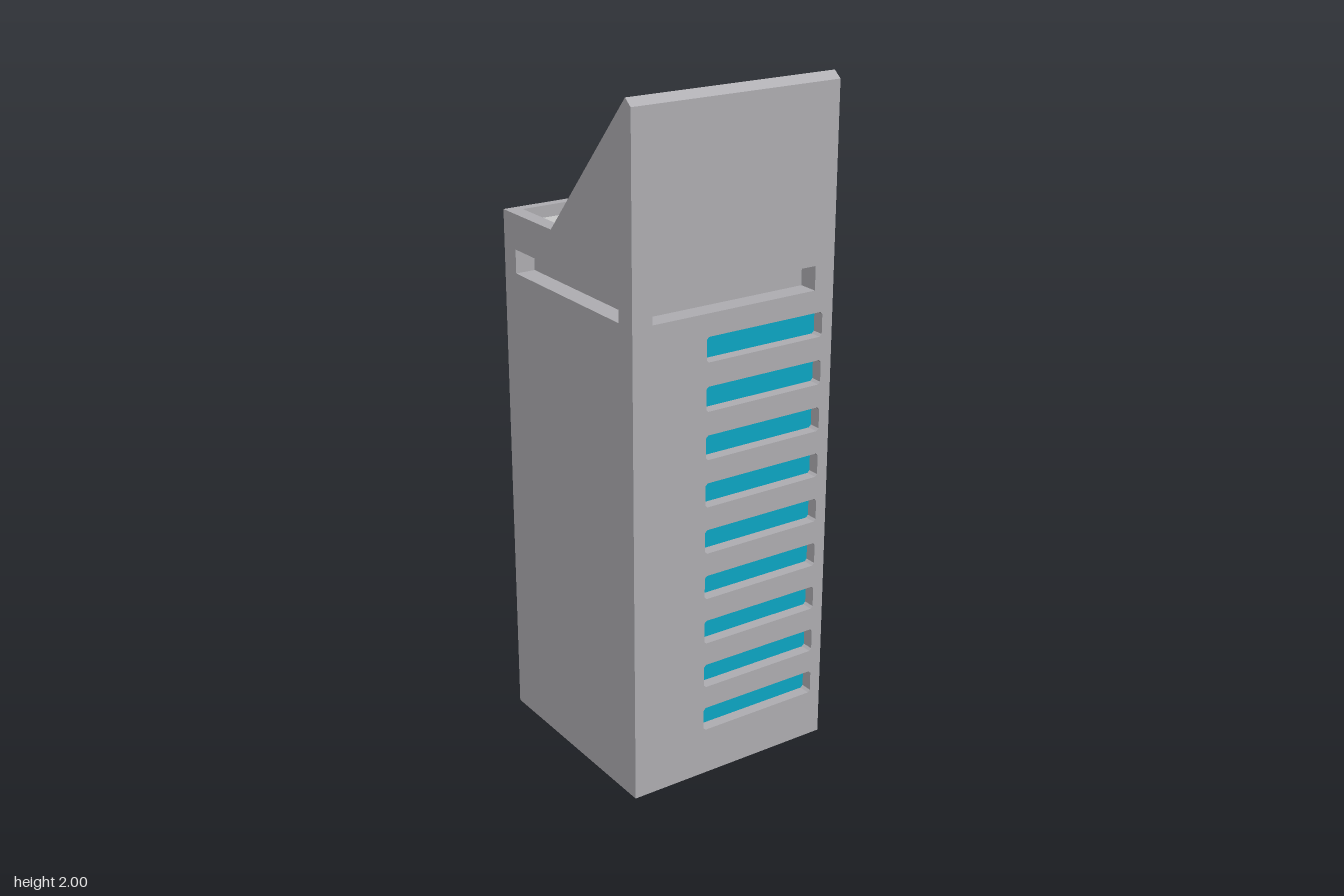
import * as THREE from 'three';
import { mergeGeometries } from 'three/addons/utils/BufferGeometryUtils.js';

const H = 0.33;                                   // half width of the tower
const ROOF = 1.58, FOLD = -0.07;                  // flat roof height, foot of the slope
const PEAK = 2, PEAK_Z = 0.305, FRONT_TOP = 1.98; // crest

export function createModel() {
  const concrete = new THREE.MeshStandardMaterial({ color: 0xb0afb3 });
  concrete.name = 'concrete';
  const glass = new THREE.MeshStandardMaterial({ color: 0x0ca8c6 });
  glass.name = 'blueGlass';
  const panel = new THREE.MeshStandardMaterial({ color: 0xcbcbcb });
  panel.name = 'lightRoofPanel';

  const model = new THREE.Group();
  model.name = 'tower';

  const vecs = (pts) => pts.map(([x, y]) => new THREE.Vector2(x, y));

  // rectangle with corners cut by c, counter-clockwise
  const rect = (x0, y0, x1, y1, c = 0) => c
    ? [[x0 + c, y0], [x1 - c, y0], [x1, y0 + c], [x1, y1 - c],
      [x1 - c, y1], [x0 + c, y1], [x0, y1 - c], [x0, y0 + c]]
    : [[x0, y0], [x1, y0], [x1, y1], [x0, y1]];

  // side walls of a recess, facing into it
  function reveal(pts, d) {
    const pos = [];
    pts.forEach(([ax, ay], i) => {
      const [bx, by] = pts[(i + 1) % pts.length];
      pos.push(ax, ay, 0, bx, by, 0, ax, ay, -d);
      pos.push(bx, by, 0, bx, by, -d, ax, ay, -d);
    });
    const g = new THREE.BufferGeometry();
    g.setAttribute('position', new THREE.Float32BufferAttribute(pos, 3));
    g.computeVertexNormals();
    return g;
  }

  // flat face with recessed openings, drawn in its own plane with +z outward
  function face(name, outline, openings, matrix) {
    const group = new THREE.Group();
    group.name = name;
    const shape = new THREE.Shape(vecs(outline));
    const walls = [], backs = new Map();
    for (const { pts, d, mat } of openings) {
      shape.holes.push(new THREE.Path(vecs(pts)));
      walls.push(reveal(pts, d));
      const back = new THREE.ShapeGeometry(new THREE.Shape(vecs(pts))).translate(0, 0, -d);
      if (!backs.has(mat)) backs.set(mat, []);
      backs.get(mat).push(back);
    }
    const add = (part, geo, mat) => {
      const mesh = new THREE.Mesh(geo.applyMatrix4(matrix), mat);
      mesh.name = part;
      group.add(mesh);
    };
    add(name + 'Surface', new THREE.ShapeGeometry(shape), concrete);
    if (walls.length) add(name + 'Reveals', mergeGeometries(walls), concrete);
    for (const [mat, list] of backs) {
      const part = mat === glass ? 'Windows' : mat === panel ? 'Panel' : 'SlotBack';
      add(name + part, mergeGeometries(list), mat);
    }
    model.add(group);
  }

  // nine storeys of windows for the given column spans
  function windows(spans) {
    const list = [];
    for (let row = 0; row < 9; row++) {
      const y = 0.143 + row * 0.1408;
      for (const [a, b] of spans) {
        list.push({ pts: rect(a, y, b, y + 0.072, 0.007), d: 0.035, mat: glass });
      }
    }
    return list;
  }
  const slot = () => ({ pts: rect(-0.268, 1.407, 0.266, 1.477), d: 0.06, mat: concrete });

  const turned = (angle) => new THREE.Matrix4().makeRotationY(angle)
    .multiply(new THREE.Matrix4().makeTranslation(0, 0, H));

  // front and back walls
  face('frontWall', rect(-H, 0, H, FRONT_TOP),
    [slot(), ...windows([[-0.095, 0.295]])], turned(0));
  const backColumns = [-0.213, -0.07, 0.07, 0.213].map((x) => [x - 0.026, x + 0.026]);
  face('backWall', rect(-H, 0, H, ROOF), [slot(), ...windows(backColumns)], turned(Math.PI));

  // side walls with the sloping crest; s = 1 is the left, s = -1 the right
  const profile = [[-H, 0], [H, 0], [H, ROOF], [-FOLD, ROOF], [-PEAK_Z, PEAK], [-H, FRONT_TOP]];
  face('leftWall', profile,
    [slot(), ...windows([[-0.3, 0.06], [0.11, 0.165], [0.215, 0.275]])], turned(Math.PI / 2));
  face('rightWall', profile.map(([x, y]) => [-x, y]).reverse(), [slot()], turned(-Math.PI / 2));

  // flat roof with sunken floor
  face('flatRoof', rect(-H, -FOLD, H, H),
    [{ pts: rect(-0.285, 0.092, 0.297, 0.299), d: 0.035, mat: panel }],
    new THREE.Matrix4().makeRotationX(-Math.PI / 2).setPosition(0, ROOF, 0));

  // sloping faces run between two points of the side profile
  function slopeMatrix(z0, y0, z1, y1, xDir) {
    const x = new THREE.Vector3(xDir, 0, 0);
    const y = new THREE.Vector3(0, y1 - y0, z1 - z0).normalize();
    return new THREE.Matrix4().makeBasis(x, y, x.clone().cross(y)).setPosition(0, y0, z0);
  }
  const length = Math.hypot(PEAK_Z - FOLD, PEAK - ROOF);
  face('slopingRoof', rect(-H, 0, H, length),
    [{ pts: rect(-0.297, 0.012, 0.297, 0.533), d: 0.03, mat: panel }],
    slopeMatrix(FOLD, ROOF, PEAK_Z, PEAK, -1));

  // narrow chamfer along the crest
  face('crest', rect(-H, 0, H, Math.hypot(H - PEAK_Z, PEAK - FRONT_TOP)), [],
    slopeMatrix(H, FRONT_TOP, PEAK_Z, PEAK, 1));

  // underside
  face('base', rect(-H, -H, H, H), [], new THREE.Matrix4().makeRotationX(Math.PI / 2));

  return model;
}
